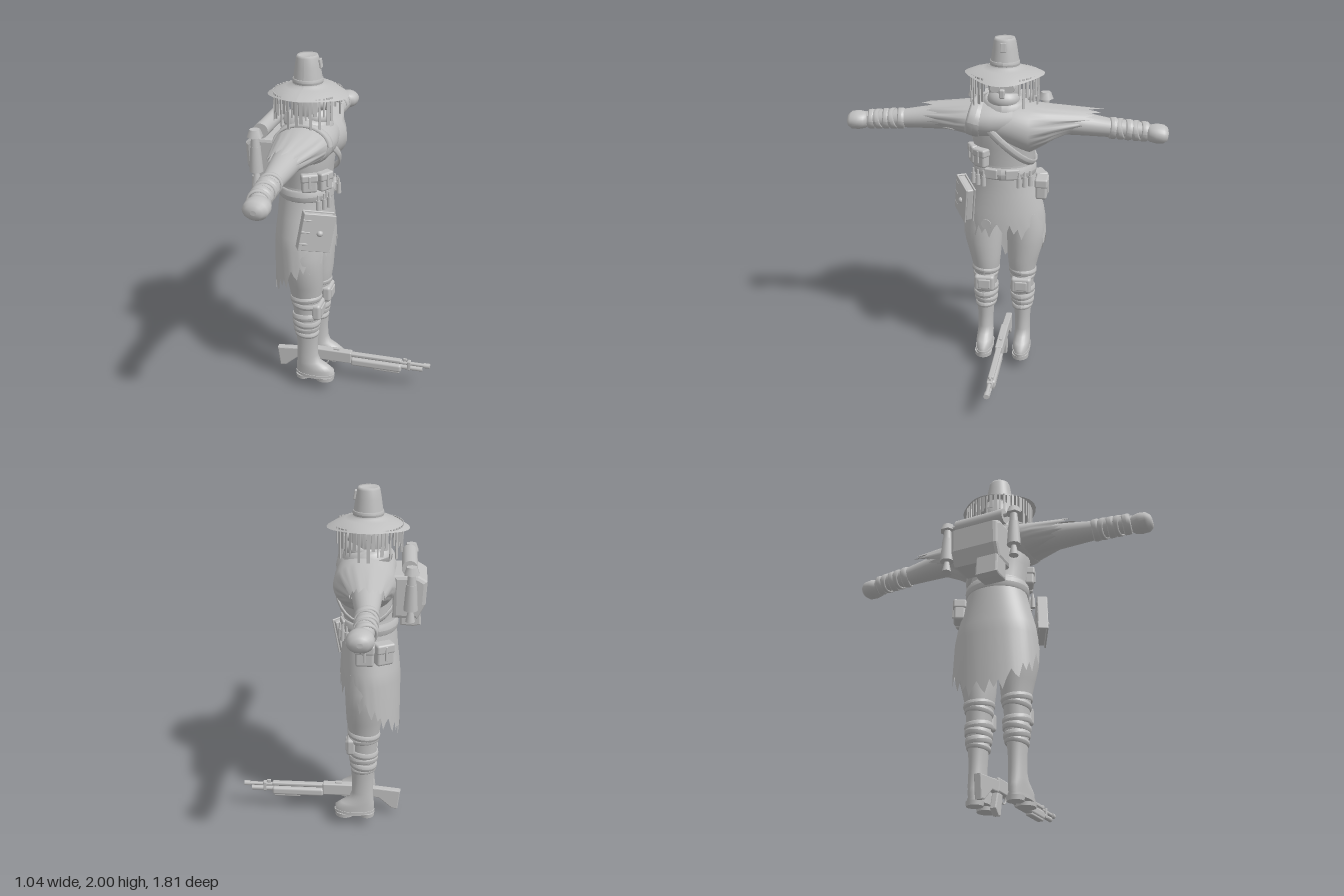
import * as THREE from 'three';
import { RoundedBoxGeometry } from 'three/addons/geometries/RoundedBoxGeometry.js';

const clay = new THREE.MeshStandardMaterial({ color: 0xbfbfbf, side: THREE.DoubleSide });
clay.name = 'pale grey';
const TAU = Math.PI * 2;
const ZIG = [0, 0.045, 0.01, -0.045, 0.02, -0.015, 0.04, -0.03];

export function createModel() {
  const model = new THREE.Group();
  model.name = 'wanderer';

  const add = (name, geo, x = 0, y = 0, z = 0, rx = 0, ry = 0, rz = 0, parent = model) => {
    const m = new THREE.Mesh(geo, clay);
    m.name = name;
    m.position.set(x, y, z);
    m.rotation.set(rx, ry, rz);
    parent.add(m);
    return m;
  };
  const box = (w, h, d, r = 0.008) => new RoundedBoxGeometry(w, h, d, 2, r);
  const cyl = (r1, r2, h, n = 16) => new THREE.CylinderGeometry(r1, r2, h, n);

  // Skin through elliptical rings. Ring on 'y': [y, cx, cz, rx, rz]; on 'z': [z, cx, cy, rx, ry]
  function loft(rings, axis = 'y', { n = 28, cap = true, edge = null } = {}) {
    const rows = rings.slice();
    const close = (r) => [r[0], r[1], r[2], 0, 0];
    if (cap) {
      rows.unshift(close(rows[0]), rows[0]);
      const end = rows[rows.length - 1];
      rows.push(end, close(end));
    }
    const pos = [], idx = [];
    rows.forEach((r, j) => {
      for (let i = 0; i < n; i++) {
        const a = (i / n) * TAU;
        const t = edge && j === rows.length - 1 ? edge(a, i) : r[0];
        const u = r[1] + r[3] * Math.cos(a), v = r[2] + r[4] * Math.sin(a);
        if (axis === 'y') pos.push(u, t, v); else pos.push(u, v, t);
      }
    });
    const flip = (axis === 'y') !== (rows[rows.length - 1][0] < rows[0][0]);
    for (let j = 0; j < rows.length - 1; j++) for (let i = 0; i < n; i++) {
      const a = j * n + i, b = j * n + (i + 1) % n, c = a + n, d = b + n;
      if (flip) idx.push(a, c, b, b, c, d); else idx.push(a, b, c, b, d, c);
    }
    const g = new THREE.BufferGeometry();
    g.setAttribute('position', new THREE.Float32BufferAttribute(pos, 3));
    g.setIndex(idx);
    g.computeVertexNormals();
    return g;
  }
  // Flat-sided plate from an x,y outline, centred on z
  function plate(points, depth, bevel = 0.006) {
    const g = new THREE.ExtrudeGeometry(new THREE.Shape(points.map((p) => new THREE.Vector2(...p))),
      { depth: depth - 2 * bevel, bevelSize: bevel, bevelThickness: bevel, bevelOffset: -bevel, bevelSegments: 2 });
    return g.translate(0, 0, bevel - depth / 2);
  }
  // Raised cloth wrap, an elliptical ring lying flat around y
  function wrap(rx, rz, thick, height) {
    const g = new THREE.TorusGeometry(1, 0.5, 8, 28).rotateX(Math.PI / 2);
    const p = g.attributes.position;
    for (let i = 0; i < p.count; i++) {
      const a = Math.atan2(p.getZ(i), p.getX(i));
      const out = (Math.hypot(p.getX(i), p.getZ(i)) - 1) * 2 * thick;
      p.setXYZ(i, Math.cos(a) * (rx + out), p.getY(i) * height, Math.sin(a) * (rz + out));
    }
    g.computeVertexNormals();
    return g;
  }

  // Torso, ragged coat skirt and belt
  add('torso', loft([[1.2, -0.22, 0, 0.14, 0.165], [1.3, -0.21, 0, 0.135, 0.165], [1.4, -0.205, 0, 0.14, 0.18],
    [1.5, -0.2, 0, 0.15, 0.19], [1.58, -0.2, 0, 0.14, 0.17], [1.64, -0.2, 0, 0.11, 0.12], [1.69, -0.2, 0, 0.07, 0.08]]));
  add('coatSkirt', loft([[1.3, -0.215, 0, 0.143, 0.166], [1.22, -0.22, 0, 0.148, 0.172], [1.12, -0.222, 0, 0.155, 0.197],
    [1.02, -0.224, 0, 0.165, 0.225], [0.95, -0.226, 0, 0.17, 0.237], [0.8, -0.228, 0, 0.172, 0.245]], 'y', {
    n: 64, cap: false,
    edge: (a, i) => 0.8 + 0.11 * Math.cos(a) - 0.07 * Math.cos(a) ** 2 * (Math.cos(a) < 0 ? 1 : 0) + ZIG[i % 8],
  }));
  add('belt', wrap(0.148, 0.17, 0.012, 0.07), -0.216, 1.255, 0);
  for (const z of [-0.06, 0.06]) add('beltBuckle', box(0.02, 0.06, 0.08), -0.073, 1.255, z, 0, z > 0 ? -0.25 : 0.25);
  add('coatPatch', cyl(0.03, 0.03, 0.008, 20), -0.068, 0.945, 0.088, 0, -0.2, Math.PI / 2);

  // Ragged poncho over each arm, longer on the right shoulder
  add('ponchoRight', loft([[0.06, -0.195, 1.54, 0.155, 0.115], [-0.06, -0.193, 1.52, 0.165, 0.135], [-0.15, -0.19, 1.505, 0.165, 0.14],
    [-0.24, -0.195, 1.525, 0.142, 0.11], [-0.43, -0.215, 1.55, 0.09, 0.063]], 'z', {
    n: 40, cap: false, edge: (a, i) => -0.42 - 0.09 * Math.sin(a) + ZIG[i % 8],
  }));
  add('ponchoLeft', loft([[-0.06, -0.195, 1.55, 0.155, 0.11], [0.06, -0.192, 1.55, 0.165, 0.115], [0.16, -0.19, 1.55, 0.155, 0.1],
    [0.26, -0.2, 1.55, 0.13, 0.085], [0.42, -0.215, 1.545, 0.082, 0.068]], 'z', {
    n: 40, cap: false, edge: (a, i) => 0.4 + 0.03 * Math.sin(a) + ZIG[i % 8],
  }));
  add('chestStrap', wrap(0.168, 0.235, 0.008, 0.045), -0.2, 1.46, 0, -0.75);
  add('shoulderPad', wrap(0.15, 0.1, 0.012, 0.09), -0.19, 1.555, 0.15, 1.35);

  // Arms with wrapped forearms and closed fists
  for (const s of [1, -1]) {
    const arm = new THREE.Group();
    arm.name = s > 0 ? 'leftArm' : 'rightArm';
    arm.scale.z = 1;
    model.add(arm);
    const ring = (r) => [r[0] * s, ...r.slice(1)];
    add('sleeve', loft([[0.12, -0.2, 1.545, 0.1, 0.085], [0.3, -0.21, 1.54, 0.085, 0.075], [0.45, -0.215, 1.525, 0.07, 0.063],
      [0.58, -0.22, 1.51, 0.055, 0.053], [0.72, -0.22, 1.503, 0.053, 0.05], [0.82, -0.21, 1.495, 0.045, 0.042]].map(ring), 'z'), 0, 0, 0, 0, 0, 0, arm);
    add('fist', loft([[0.79, -0.205, 1.495, 0.04, 0.036], [0.805, -0.2, 1.495, 0.058, 0.046], [0.84, -0.2, 1.495, 0.067, 0.053],
      [0.88, -0.2, 1.493, 0.064, 0.05], [0.9, -0.2, 1.492, 0.045, 0.035], [0.906, -0.2, 1.492, 0.015, 0.012]].map(ring), 'z'), 0, 0, 0, 0, 0, 0, arm);
    for (let i = 0; i < 5; i++)
      add('armWrap', wrap(0.056 - i * 0.001, 0.054 - i * 0.001, 0.007, 0.045), -0.22, 1.508 - i * 0.003, s * (0.6 + i * 0.043),
        Math.PI / 2 + (i % 2 ? 0.22 : -0.1), 0, i % 2 ? 0.15 : -0.2, arm);
  }

  // Legs, knee pads, wraps and boots
  for (const s of [1, -1]) {
    const leg = new THREE.Group();
    leg.name = s > 0 ? 'leftLeg' : 'rightLeg';
    model.add(leg);
    const limb = (name, rings) => add(name, loft(rings.map(([y, x, z, a, b]) => [y, x, z * s, a, b])), 0, 0, 0, 0, 0, 0, leg);
    limb('trouser', [[0.36, -0.2, 0.113, 0.062, 0.055], [0.46, -0.2, 0.112, 0.07, 0.062], [0.56, -0.2, 0.11, 0.078, 0.068],
      [0.62, -0.2, 0.108, 0.088, 0.078], [0.7, -0.2, 0.113, 0.1, 0.092], [0.8, -0.205, 0.124, 0.11, 0.108], [0.9, -0.21, 0.124, 0.12, 0.114], [1, -0.215, 0.115, 0.12, 0.105]]);
    [[0.61, 0.085, 0.075, 0.04], [0.575, 0.078, 0.068, 0.04], [0.49, 0.076, 0.067, 0.045], [0.45, 0.075, 0.066, 0.045],
      [0.41, 0.07, 0.062, 0.045], [0.375, 0.064, 0.056, 0.035]].forEach(([y, a, b, h], i) =>
      add('legWrap', wrap(a, b, 0.009, h), -0.2, y, s * 0.111, i % 2 ? 0.1 : -0.08, 0, i % 2 ? -0.08 : 0.1, leg));
    add('kneePad', box(0.055, 0.1, 0.12, 0.018), -0.13, 0.535, s * 0.11, 0, 0, 0, leg);
    add('kneePlate', box(0.02, 0.06, 0.075), -0.106, 0.535, s * 0.11, 0, 0, 0, leg);
    limb('boot', [[0.09, -0.152, 0.114, 0.113, 0.05], [0.125, -0.153, 0.114, 0.115, 0.051], [0.148, -0.168, 0.114, 0.098, 0.05],
      [0.175, -0.19, 0.114, 0.072, 0.048], [0.22, -0.197, 0.114, 0.062, 0.045], [0.3, -0.197, 0.113, 0.061, 0.047], [0.365, -0.197, 0.113, 0.067, 0.052]]);
    limb('bootSole', [[0.08, -0.152, 0.114, 0.117, 0.054], [0.1, -0.152, 0.114, 0.118, 0.054]]);
    limb('bootHeel', [[0.06, -0.225, 0.114, 0.043, 0.045], [0.085, -0.225, 0.114, 0.045, 0.048]]);
    limb('toeSole', [[0.06, -0.095, 0.114, 0.056, 0.05], [0.085, -0.095, 0.114, 0.058, 0.052]]);
  }

  // Head with scarf, mask and goggles
  add('head', new THREE.SphereGeometry(1, 28, 20).scale(0.1, 0.145, 0.09), -0.195, 1.735, 0);
  add('mask', new THREE.SphereGeometry(1, 24, 16).scale(0.085, 0.062, 0.09), -0.155, 1.67, 0);
  add('scarf', wrap(0.105, 0.1, 0.032, 0.09), -0.2, 1.63, 0, 0, 0, -0.12);
  for (const z of [-0.04, 0.04]) add('goggle', cyl(0.026, 0.03, 0.03), -0.1, 1.745, z, 0, 0, -Math.PI / 2);
  add('nosePiece', box(0.03, 0.05, 0.03), -0.085, 1.715, 0);

  // Wide hat with a wavy drooping brim, fringe of cloth strips, and buckle
  const profile = [[0.21, 1.795], [0.17, 1.817], [0.12, 1.832], [0.083, 1.842], [0.08, 1.86], [0.068, 1.94], [0.06, 1.985], [0.054, 1.998], [0.045, 1.992], [0.0001, 1.99]];
  const hat = new THREE.LatheGeometry(profile.map((p) => new THREE.Vector2(...p)), 32);
  const hp = hat.attributes.position;
  for (let i = 0; i < hp.count; i++) {
    const x = hp.getX(i), z = hp.getZ(i), r = Math.hypot(x, z), a = Math.atan2(z, x);
    if (r > 0.1) {
      const k = 1 + 0.05 * Math.cos(4 * a) * (r - 0.1) / 0.11;
      hp.setXYZ(i, x * k, hp.getY(i) - 0.012 * Math.cos(2 * a) * (r - 0.1) / 0.11, z * k);
    }
  }
  hat.computeVertexNormals();
  add('hat', hat, -0.2, 0, 0);
  add('hatBand', wrap(0.079, 0.079, 0.004, 0.03), -0.2, 1.862, 0);
  add('hatBuckle', box(0.012, 0.05, 0.034, 0.004), -0.129, 1.955, 0, 0, 0, 0.15);
  for (let i = 0; i < 40; i++) {
    const a = 0.56 + (i / 39) * (TAU - 1.12);
    const len = 0.13 + 0.04 * Math.sin(i * 2.7);
    add('hatStrip', new THREE.BoxGeometry(0.005, len, 0.014 + 0.006 * Math.sin(i * 1.9)),
      -0.2 + 0.185 * Math.cos(a), 1.81 - len / 2, 0.19 * Math.sin(a), 0, -a, 0);
  }

  // Belt gear: pouches, bottles and a bound book
  const pouch = (x, y, z, turn, w, h, d) => {
    const g = new THREE.Group();
    g.name = 'pouch';
    g.position.set(x, y, z);
    g.rotation.y = turn;
    model.add(g);
    add('pouchBody', box(w, h, d, 0.014), 0, 0, 0, 0, 0, 0, g);
    add('pouchFlap', box(w + 0.008, h * 0.45, d + 0.01, 0.012), 0, h * 0.3, 0, 0, 0, 0, g);
    add('pouchStrap', box(0.014, h * 0.7, d + 0.018, 0.004), 0, 0.01, 0, 0, 0, 0, g);
  };
  pouch(-0.155, 1.345, 0.165, 0.45, 0.085, 0.105, 0.055);
  pouch(-0.085, 1.345, 0.115, 1.0, 0.08, 0.105, 0.055);
  pouch(-0.2, 1.14, -0.215, Math.PI, 0.1, 0.12, 0.065);
  pouch(-0.3, 1.14, -0.19, Math.PI + 0.5, 0.1, 0.12, 0.065);
  for (const z of [0.165, 0.135, 0.1, -0.1, -0.13, -0.16]) {
    const x = -0.21 + 0.17 * Math.sqrt(1 - (z / 0.21) ** 2);
    add('bottle', cyl(0.012, 0.014, 0.06, 10), x, 1.215, z);
    add('bottleNeck', cyl(0.005, 0.008, 0.03, 8), x, 1.26, z);
  }
  const book = new THREE.Group();
  book.name = 'book';
  book.position.set(-0.105, 1.085, 0.215);
  book.rotation.set(0, 0.5, -0.2);
  model.add(book);
  add('pages', box(0.165, 0.205, 0.04), 0, 0, 0, 0, 0, 0, book);
  for (const z of [-0.024, 0.024]) add('cover', box(0.18, 0.22, 0.01, 0.004), 0, 0, z, 0, 0, 0, book);
  add('spine', box(0.012, 0.22, 0.055, 0.005), -0.085, 0, 0, 0, 0, 0, book);
  add('clasp', new THREE.SphereGeometry(0.018, 14, 10), 0.015, 0, 0.028, 0, 0, 0, book);
  for (const y of [-0.07, 0, 0.07]) add('spineBand', box(0.05, 0.012, 0.062, 0.004), -0.065, y, 0, 0, 0, 0, book);

  // Backpack with bedroll, side pouch and hanging lanterns
  add('backpack', plate([[-0.34, 1.56], [-0.47, 1.56], [-0.52, 1.53], [-0.515, 1.4], [-0.475, 1.32], [-0.34, 1.32]], 0.28, 0.02));
  add('lowerPack', plate([[-0.38, 1.34], [-0.49, 1.34], [-0.5, 1.23], [-0.46, 1.22], [-0.385, 1.225]], 0.13, 0.01), 0, 0, 0.07);
  add('bedroll', cyl(0.042, 0.042, 0.29, 20), -0.425, 1.605, 0, Math.PI / 2);
  add('rod', cyl(0.012, 0.012, 0.42, 10), -0.435, 1.605, 0, Math.PI / 2);
  for (const z of [-0.205, 0.205]) {
    add('lanternCap', cyl(0.03, 0.045, 0.04, 6), -0.435, 1.615, z);
    add('lanternNeck', cyl(0.02, 0.026, 0.06, 10), -0.435, 1.57, z);
    add('lanternBody', cyl(0.028, 0.038, 0.14, 12), -0.435, 1.47, z);
    add('lanternFoot', cyl(0.014, 0.026, 0.06, 12), -0.435, 1.365, z);
  }

  // Long gun lying along x
  const gun = new THREE.Group();
  gun.name = 'gun';
  model.add(gun);
  const part = (name, geo, x = 0, y = 0, z = 0, rz = 0) => add(name, geo, x, y, z, 0, 0, rz, gun);
  part('stock', plate([[-0.42, 0.165], [-0.405, 0.04], [-0.37, 0.045], [-0.29, 0.115], [-0.2, 0.12], [-0.2, 0.185], [-0.27, 0.18]], 0.04));
  part('grip', plate([[-0.225, 0.12], [-0.17, 0.12], [-0.19, 0.005], [-0.215, 0], [-0.25, 0.035]], 0.036));
  part('receiver', box(0.27, 0.075, 0.046), -0.09, 0.16, 0);
  part('triggerGuard', new THREE.TorusGeometry(0.026, 0.005, 6, 16), -0.13, 0.11, 0);
  part('forend', box(0.31, 0.05, 0.052, 0.015), 0.195, 0.135, 0);
  part('forendTip', box(0.16, 0.025, 0.04), 0.26, 0.112, 0);
  part('heatShield', box(0.34, 0.022, 0.034), 0.18, 0.18, 0);
  part('barrel', cyl(0.011, 0.011, 0.5, 14), 0.26, 0.172, 0, Math.PI / 2);
  part('magazineTube', cyl(0.014, 0.014, 0.3, 14), 0.325, 0.143, 0, Math.PI / 2);
  part('muzzle', cyl(0.015, 0.015, 0.035, 14), 0.502, 0.172, 0, Math.PI / 2);
  part('barrelClamp', box(0.02, 0.06, 0.03, 0.005), 0.395, 0.16, 0);
  part('sight', box(0.025, 0.02, 0.012, 0.004), 0.37, 0.192, 0);
  part('rearSight', box(0.04, 0.015, 0.02, 0.004), -0.05, 0.2, 0);

  return model;
}
